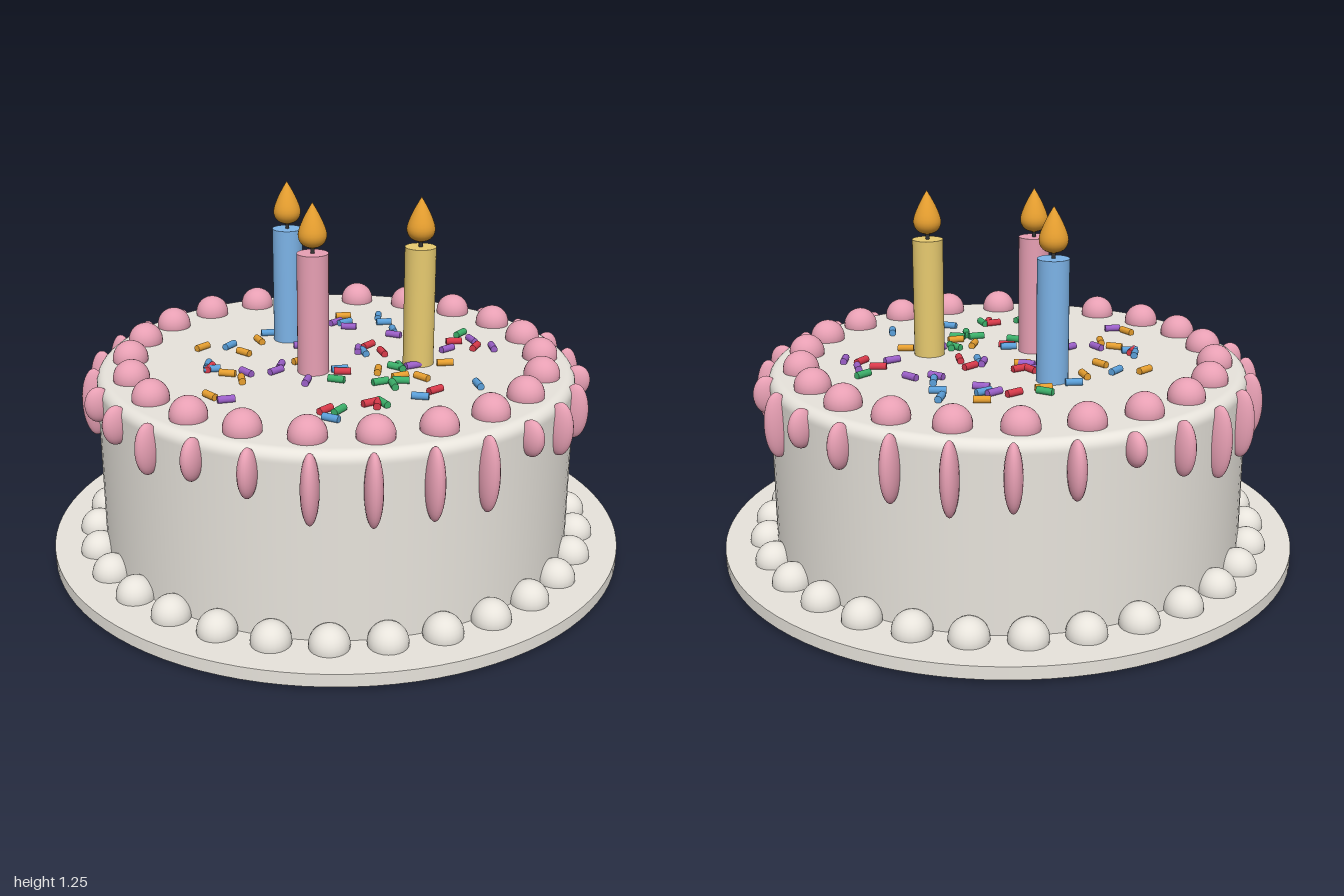
import * as THREE from 'three';

const mat = (name, color) => {
  const m = new THREE.MeshStandardMaterial({ color });
  m.name = name;
  return m;
};

// Small seeded generator, 0 to 1
const seeded = (seed) => () => {
  seed = (seed * 16807) % 2147483647;
  return seed / 2147483647;
};

export function createModel() {
  const cream = mat('cream', 0xf0ece4);
  const pink = mat('pink icing', 0xe8a0b4);
  const paleBlue = mat('pale blue wax', 0x7db4e8);
  const paleYellow = mat('pale yellow wax', 0xe8cb70);
  const amber = mat('amber', 0xe8a030);
  const dark = mat('dark wick', 0x333333);
  const red = mat('red sugar', 0xd93a4a);
  const green = mat('green sugar', 0x3cb06a);
  const blue = mat('blue sugar', 0x5a9fd9);
  const purple = mat('purple sugar', 0x9b5fc8);

  const model = new THREE.Group();
  model.name = 'birthdayCake';
  const add = (name, geometry, material, x, y, z, parent = model) => {
    const mesh = new THREE.Mesh(geometry, material);
    mesh.name = name;
    mesh.position.set(x, y, z);
    parent.add(mesh);
    return mesh;
  };
  const group = (name) => {
    const g = new THREE.Group();
    g.name = name;
    model.add(g);
    return g;
  };

  // Board
  add('board', new THREE.CylinderGeometry(1, 1, 0.043, 96), cream, 0, 0.0355, 0);

  // Cake body with a rounded top edge
  const profile = [new THREE.Vector2(0.82, 0.05), new THREE.Vector2(0.82, 0.635)];
  for (let i = 0; i <= 8; i++) {
    const a = (i / 8) * Math.PI / 2;
    profile.push(new THREE.Vector2(0.785 + 0.035 * Math.cos(a), 0.64 + 0.035 * Math.sin(a)));
  }
  profile.push(new THREE.Vector2(0.78, 0.675), new THREE.Vector2(0, 0.675));
  add('cakeBody', new THREE.LatheGeometry(profile, 96), cream, 0, 0, 0);

  // Rings of piped beads around the base and the top
  const ring = (name, count, radius, y, size, material) => {
    const g = group(name);
    const ball = new THREE.SphereGeometry(size, 24, 16);
    for (let i = 0; i < count; i++) {
      const a = (i / count) * Math.PI * 2;
      add('bead', ball, material, radius * Math.cos(a), y, radius * Math.sin(a), g);
    }
  };
  ring('baseBeads', 30, 0.85, 0.0645, 0.0645, cream);
  ring('topBeads', 22, 0.71, 0.685, 0.061, pink);

  // Icing drips of uneven length, evenly spaced from +x towards +z
  const dripLengths = [
    0.18, 0.12, 0.25, 0.24, 0.24, 0.23, 0.16, 0.14, 0.17, 0.13, 0.12, 0.24, 0.22, 0.23,
    0.24, 0.18, 0.11, 0.19, 0.22, 0.24, 0.22, 0.15, 0.13, 0.22, 0.13, 0.23, 0.11, 0.19,
  ];
  const dripGroup = group('icingDrips');
  const unitBall = new THREE.SphereGeometry(1, 20, 16);
  dripLengths.forEach((length, i) => {
    const a = ((i - 0.03) / dripLengths.length) * Math.PI * 2;
    const drip = add('drip', unitBall, pink,
      0.83 * Math.cos(a), 0.678 - length / 2, 0.83 * Math.sin(a), dripGroup);
    drip.scale.set(0.045, length / 2, 0.029);
    drip.rotation.y = -a;
  });

  // Candles with wick and teardrop flame
  const wax = new THREE.CylinderGeometry(0.053, 0.053, 0.425, 32);
  const wick = new THREE.CylinderGeometry(0.007, 0.007, 0.04, 10);
  const flameProfile = new THREE.SplineCurve([
    new THREE.Vector2(0, 0), new THREE.Vector2(0.035, 0.015), new THREE.Vector2(0.048, 0.048),
    new THREE.Vector2(0.03, 0.1), new THREE.Vector2(0, 0.154),
  ]);
  const flame = new THREE.LatheGeometry(flameProfile.getPoints(16), 24);
  for (const [name, x, z, material] of [
    ['blueCandle', -0.262, -0.1, paleBlue],
    ['pinkCandle', 0, 0.147, pink],
    ['yellowCandle', 0.262, -0.113, paleYellow],
  ]) {
    const candle = group(name);
    candle.position.set(x, 0, z);
    add('wax', wax, material, 0, 0.8725, 0, candle);
    add('wick', wick, dark, 0, 1.095, 0, candle);
    add('flame', flame, amber, 0, 1.1, 0, candle);
  }

  // Sprinkles: small rods scattered over the top inside the bead ring
  const random = seeded(4217);
  const rod = new THREE.CylinderGeometry(0.0125, 0.0125, 0.056, 10).rotateZ(Math.PI / 2);
  for (const [name, material, count] of [
    ['redSprinkles', red, 14], ['amberSprinkles', amber, 14], ['blueSprinkles', blue, 13],
    ['greenSprinkles', green, 10], ['purpleSprinkles', purple, 16],
  ]) {
    const g = group(name);
    for (let i = 0; i < count; i++) {
      const a = random() * Math.PI * 2;
      const r = 0.08 + 0.48 * random();
      const sprinkle = add('sprinkle', rod, material,
        0.04 + r * Math.cos(a), 0.685, 0.03 + r * Math.sin(a), g);
      sprinkle.rotation.y = random() * Math.PI;
    }
  }
  return model;
}
